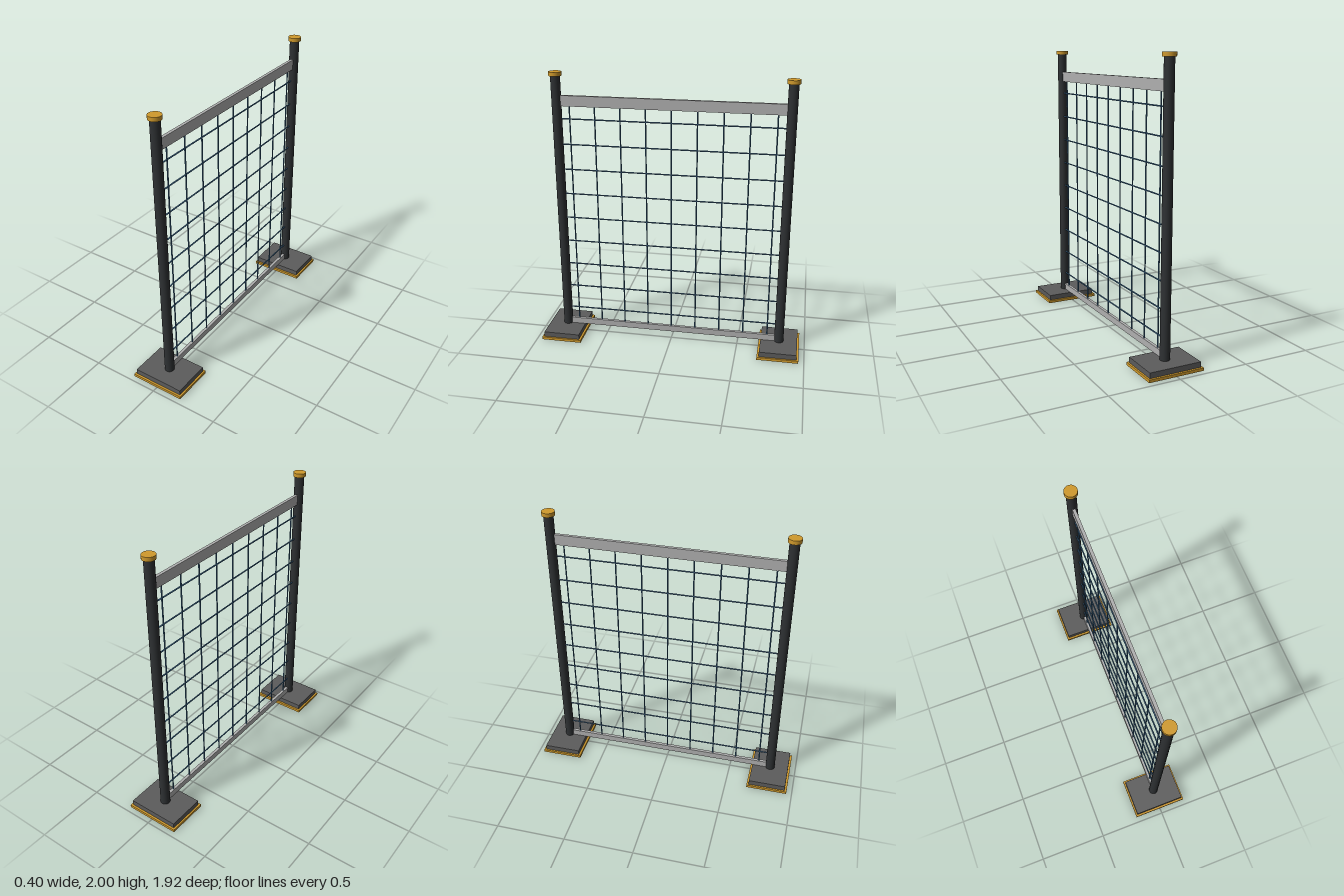
import * as THREE from 'three';

const paint = (color) => new THREE.MeshStandardMaterial({ color });
const black = paint(0x2e3133);
const gold = paint(0xd09a2c);
const steel = paint(0xb0b0b0);
const slate = paint(0x5c5c5c);
const blue = paint(0x3d6a8f);

export function createModel() {
  const model = new THREE.Group();

  function add(name, geometry, material, x, y, z, parent = model) {
    const mesh = new THREE.Mesh(geometry, material);
    mesh.name = name;
    mesh.position.set(x, y, z);
    parent.add(mesh);
    return mesh;
  }

  // Two capped posts, each on a stepped foot
  for (const side of [1, -1]) {
    const post = new THREE.Group();
    post.name = side > 0 ? 'frontPost' : 'backPost';
    post.position.z = side * 0.81;
    model.add(post);
    add('footTrim', new THREE.BoxGeometry(0.4, 0.02, 0.3), gold, 0, 0.01, 0, post);
    add('footPlate', new THREE.BoxGeometry(0.375, 0.038, 0.27), slate, 0, 0.039, 0, post);
    add('pole', new THREE.CylinderGeometry(0.034, 0.034, 1.93, 24), black, 0, 1.02, 0, post);
    add('cap', new THREE.CylinderGeometry(0.045, 0.045, 0.028, 24), gold, 0, 1.986, 0, post);
  }

  // Rails between the posts
  add('topRail', new THREE.BoxGeometry(0.022, 0.075, 1.56), steel, 0, 1.8, 0);
  add('bottomRail', new THREE.BoxGeometry(0.022, 0.046, 1.56), steel, 0, 0.082, 0);

  // Wire mesh: nine uprights and nine cross wires
  const mesh = new THREE.Group();
  mesh.name = 'wireMesh';
  model.add(mesh);
  const upright = new THREE.CylinderGeometry(0.005, 0.005, 1.67, 8);
  const cross = new THREE.CylinderGeometry(0.005, 0.005, 1.56, 8).rotateX(Math.PI / 2);
  for (let i = 0; i < 9; i++) {
    add('uprightWire', upright, blue, 0, 0.935, (i - 4) * 0.18, mesh);
    add('crossWire', cross, blue, 0, 0.196 + i * 0.1845, 0, mesh);
  }

  return model;
}
